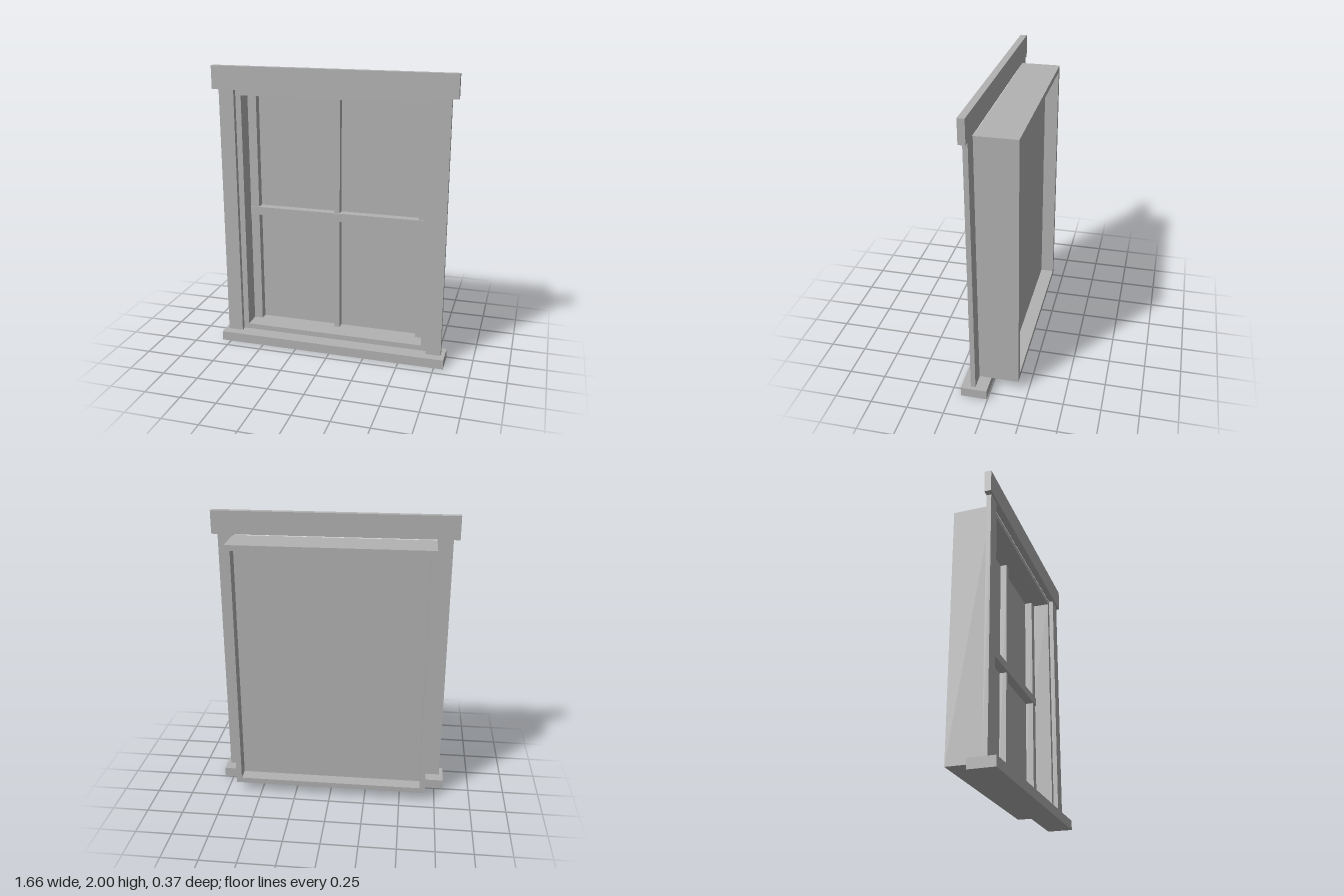
import * as THREE from 'three';

export function createModel() {
  const model = new THREE.Group();
  model.name = 'window';
  const paint = new THREE.MeshStandardMaterial({ color: 0xb2b2b2 });
  paint.name = 'grey paint';

  // Box given by its extents on each axis
  const addBox = (name, [x0, x1], [y0, y1], [z0, z1]) => {
    const mesh = new THREE.Mesh(new THREE.BoxGeometry(x1 - x0, y1 - y0, z1 - z0), paint);
    mesh.position.set((x0 + x1) / 2, (y0 + y1) / 2, (z0 + z1) / 2);
    mesh.name = name;
    model.add(mesh);
  };

  const back = -0.183, front = 0.088; // depth of the box frame
  const paneZ = -0.085;
  const open = { x: 0.642, y0: 0.11, y1: 1.8 }; // clear opening

  // Outer trim
  addBox('sill', [-0.814, 0.814], [0, 0.067], [0.006, 0.183]);
  addBox('header', [-0.83, 0.83], [1.842, 2], [front, 0.134]);
  for (const [side, s] of [['left', 1], ['right', -1]]) {
    const span = (a, b) => (s > 0 ? [a, b] : [-b, -a]);
    addBox(side + 'Casing', span(0.681, 0.787), [0.067, 1.842], [front, 0.12]);
    addBox(side + 'Stile', span(0.58, open.x), [open.y0, open.y1], [paneZ, -0.03]);
  }

  // Deep box frame with a rectangular opening
  const outline = new THREE.Shape([
    new THREE.Vector2(-0.681, 0.072), new THREE.Vector2(0.681, 0.072),
    new THREE.Vector2(0.681, 1.838), new THREE.Vector2(-0.681, 1.838),
  ]);
  outline.holes.push(new THREE.Path([
    new THREE.Vector2(-open.x, open.y0), new THREE.Vector2(-open.x, open.y1),
    new THREE.Vector2(open.x, open.y1), new THREE.Vector2(open.x, open.y0),
  ]));
  const frame = new THREE.Mesh(
    new THREE.ExtrudeGeometry(outline, { depth: front - back, bevelEnabled: false }), paint);
  frame.position.z = back;
  frame.name = 'frame';
  model.add(frame);

  // Pane and glazing bars
  addBox('pane', [-open.x, open.x], [open.y0, open.y1], [paneZ - 0.004, paneZ]);
  addBox('mullion', [-0.019, 0.019], [open.y0, open.y1], [paneZ, -0.037]);
  addBox('meetingRail', [-open.x, open.x], [0.928, 0.986], [paneZ, -0.022]);

  return model;
}
